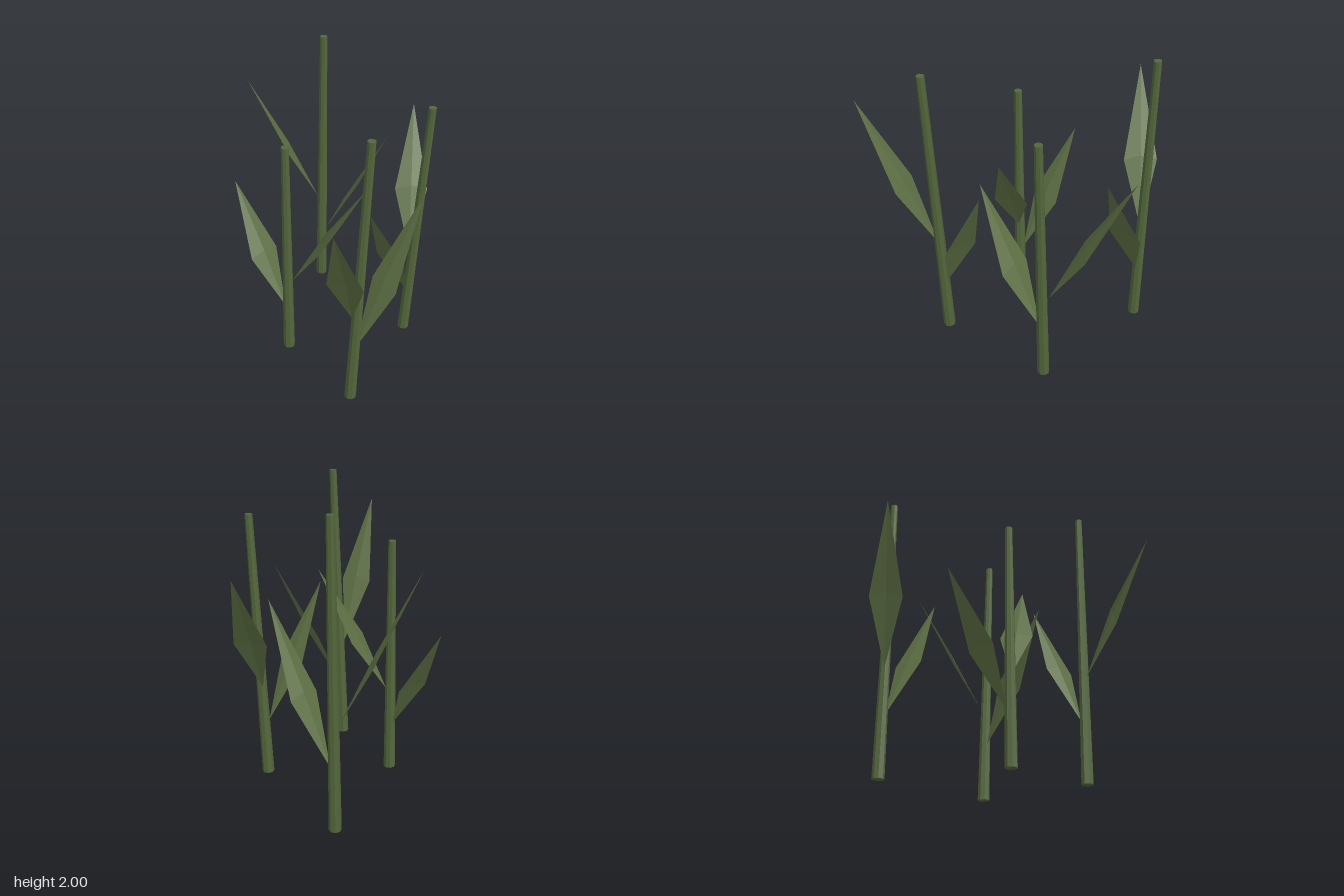
import * as THREE from 'three';

const stalkMat = new THREE.MeshStandardMaterial({ color: 0x52663a, flatShading: true });
const leafMat = new THREE.MeshStandardMaterial({ color: 0x5c6e42, flatShading: true, side: THREE.DoubleSide });

// Tapered eight-sided stalk, sheared sideways so both ends stay level
function makeStalk(height, lean) {
  const geo = new THREE.CylinderGeometry(0.025, 0.041, height, 8).translate(0, height / 2, 0);
  const pos = geo.attributes.position;
  for (let i = 0; i < pos.count; i++) pos.setX(i, pos.getX(i) + (lean * pos.getY(i)) / height);
  geo.computeVertexNormals();
  const mesh = new THREE.Mesh(geo, stalkMat);
  mesh.name = 'stalk';
  return mesh;
}

// Kite-shaped leaf rising along +x, with a raised midrib
function makeLeaf(name, baseY, stretch, degrees) {
  const geo = new THREE.BufferGeometry();
  geo.setAttribute('position', new THREE.Float32BufferAttribute([
    0.03, 0, 0, // base
    0.24, 0.42, -0.11, // side
    0.24, 0.42, 0.11, // side
    0.515, 0.98, 0, // tip
    0.24, 0.45, 0, // midrib
  ], 3));
  geo.setIndex([0, 4, 1, 0, 2, 4, 4, 3, 1, 4, 2, 3]);
  const flat = geo.toNonIndexed();
  flat.scale(1, stretch, 1);
  flat.computeVertexNormals();
  const mesh = new THREE.Mesh(flat, leafMat);
  mesh.name = name;
  mesh.position.y = baseY * stretch;
  mesh.rotation.y = -THREE.MathUtils.degToRad(degrees);
  return mesh;
}

export function createModel() {
  const model = new THREE.Group();
  model.name = 'stalkCluster';
  // x, z, height, lean, heading of the lower leaf in degrees
  const plants = [
    [-0.31, -0.65, 2, 0, 0],
    [-0.083, 0.18, 1.65, 0, 195],
    [0.527, 0.37, 2, 0.067, -68],
    [0.527, -0.425, 1.83, 0.067, 97],
  ];
  for (const [x, z, height, lean, heading] of plants) {
    const plant = new THREE.Group();
    plant.name = 'plant';
    plant.position.set(x, 0, z);
    plant.add(
      makeStalk(height, lean),
      makeLeaf('lowerLeaf', 0.43, height / 2, heading),
      makeLeaf('upperLeaf', 0.73, height / 2, heading + 143.5),
    );
    model.add(plant);
  }
  return model;
}
